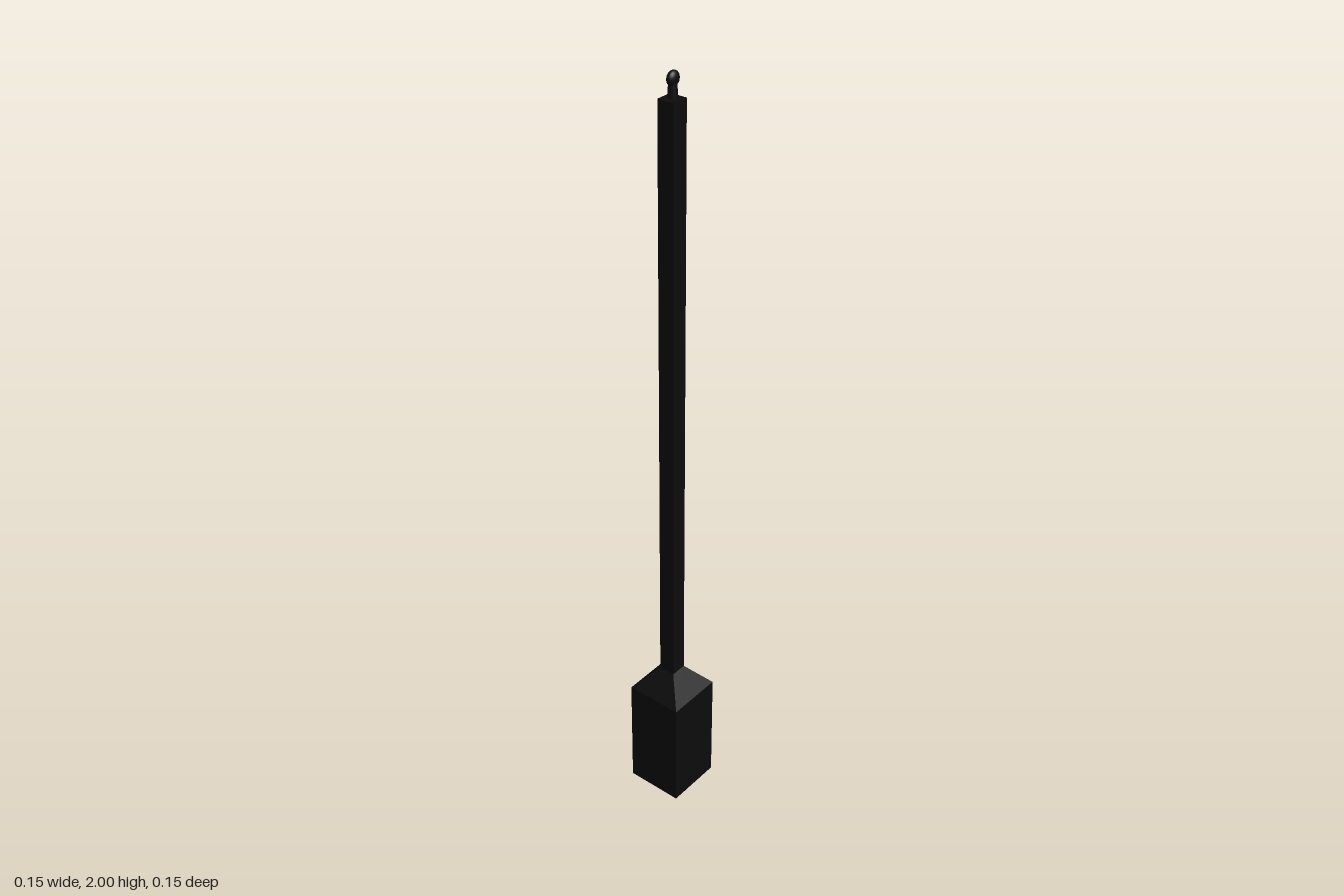
import * as THREE from 'three';

export function createModel() {
  const group = new THREE.Group();
  const black = new THREE.MeshStandardMaterial({ color: 0x0c0c0c });
  const blackFlat = new THREE.MeshStandardMaterial({ color: 0x0c0c0c, flatShading: true });

  const add = (name, geometry, material, x, y, z) => {
    const mesh = new THREE.Mesh(geometry, material);
    mesh.name = name;
    mesh.position.set(x, y, z);
    group.add(mesh);
    return mesh;
  };

  // Square frustum with flat sides facing the axes, given half widths
  const frustum = (top, bottom, height) =>
    new THREE.CylinderGeometry(top * Math.SQRT2, bottom * Math.SQRT2, height, 4).rotateY(Math.PI / 4);

  const half = 0.077, shaftHalf = 0.022;
  const baseTop = 0.315, shoulderTop = 0.378, shaftTop = 1.94;

  // Square weighted base with sloping shoulder
  add('base', new THREE.BoxGeometry(half * 2, baseTop, half * 2), blackFlat, 0, baseTop / 2, 0);
  add('shoulder', frustum(shaftHalf, half, shoulderTop - baseTop), blackFlat,
    0, (baseTop + shoulderTop) / 2, 0);

  // Long square shaft
  add('shaft', new THREE.BoxGeometry(shaftHalf * 2, shaftTop - shoulderTop, shaftHalf * 2), blackFlat,
    0, (shaftTop + shoulderTop) / 2, 0);

  // Neck and flattened knob at the tip
  add('neck', new THREE.CylinderGeometry(0.009, 0.012, 0.045, 20), black, 0, shaftTop + 0.0215, -0.002);
  add('knob', new THREE.SphereGeometry(0.018, 24, 16), black, 0, 1.982, -0.003).scale.x = 0.62;

  return group;
}
